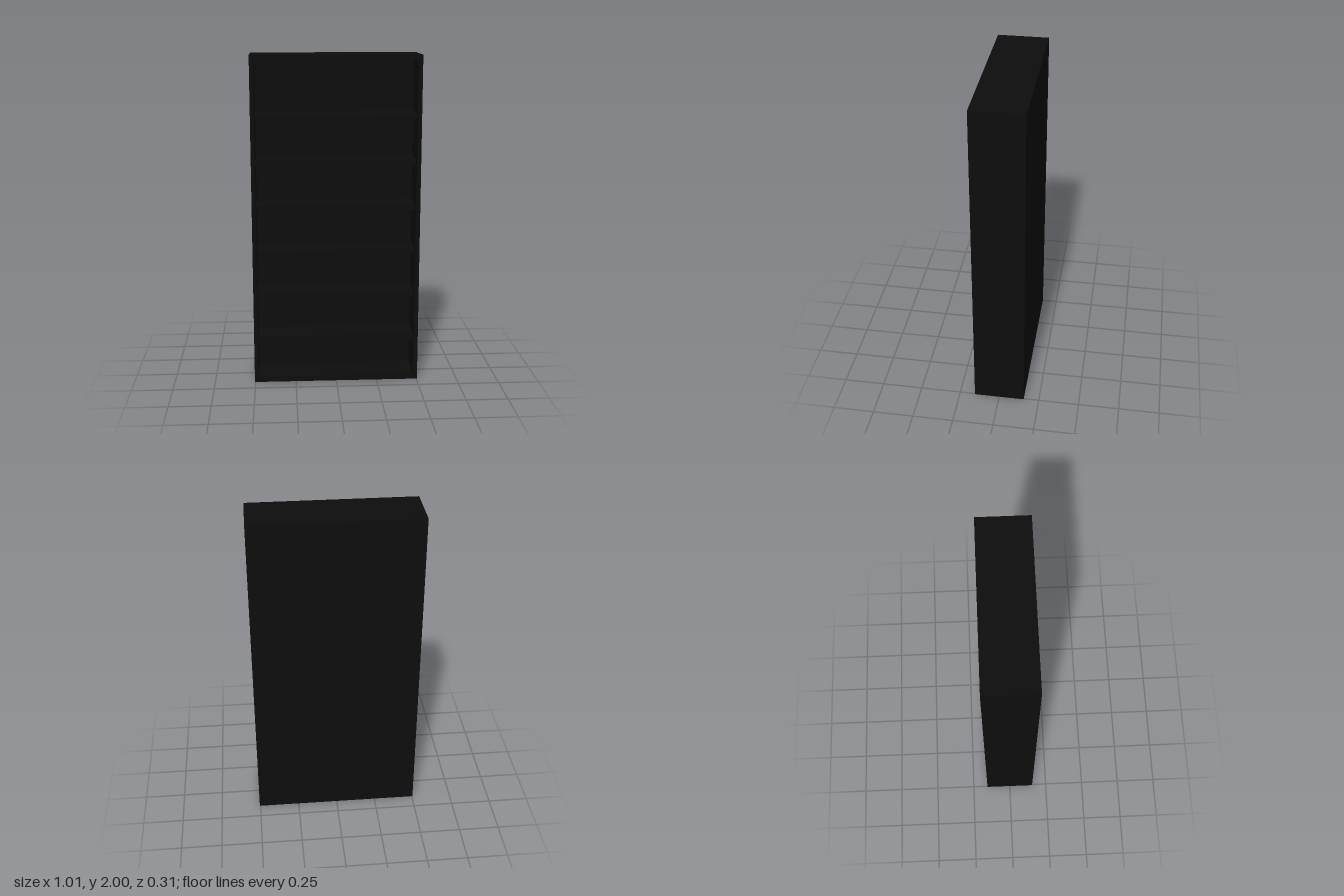
import * as THREE from 'three';

const W = 1.01, H = 2, D = 0.31; // overall size
const SIDE = 0.025, SLAB = 0.035, BACK = 0.09;

export function createModel() {
  const bookcase = new THREE.Group();
  bookcase.name = 'bookcase';
  const black = new THREE.MeshStandardMaterial({ color: 0x0d0d0d });

  function board(name, w, h, d, x, y, z) {
    const mesh = new THREE.Mesh(new THREE.BoxGeometry(w, h, d), black);
    mesh.name = name;
    mesh.position.set(x, y, z);
    bookcase.add(mesh);
  }

  // Outer frame
  for (const s of [-1, 1]) {
    board(s > 0 ? 'leftSide' : 'rightSide', SIDE, H, D, s * (W - SIDE) / 2, H / 2, 0);
  }
  const innerW = W - 2 * SIDE;
  board('topPanel', innerW, SLAB, D, 0, H - SLAB / 2, 0);
  board('bottomPanel', innerW, SLAB, D, 0, SLAB / 2, 0);

  // Deep back, flush with the rear of the frame
  board('backPanel', innerW, H - 2 * SLAB, BACK, 0, H / 2, (BACK - D) / 2);

  // Six evenly spaced shelves, set back from the front edge
  const recess = 0.05, shelfD = D - BACK - recess;
  for (let i = 0; i < 6; i++) {
    board('shelf' + (i + 1), innerW, 0.037, shelfD, 0, 0.262 + i * 0.2745, D / 2 - recess - shelfD / 2);
  }
  return bookcase;
}
